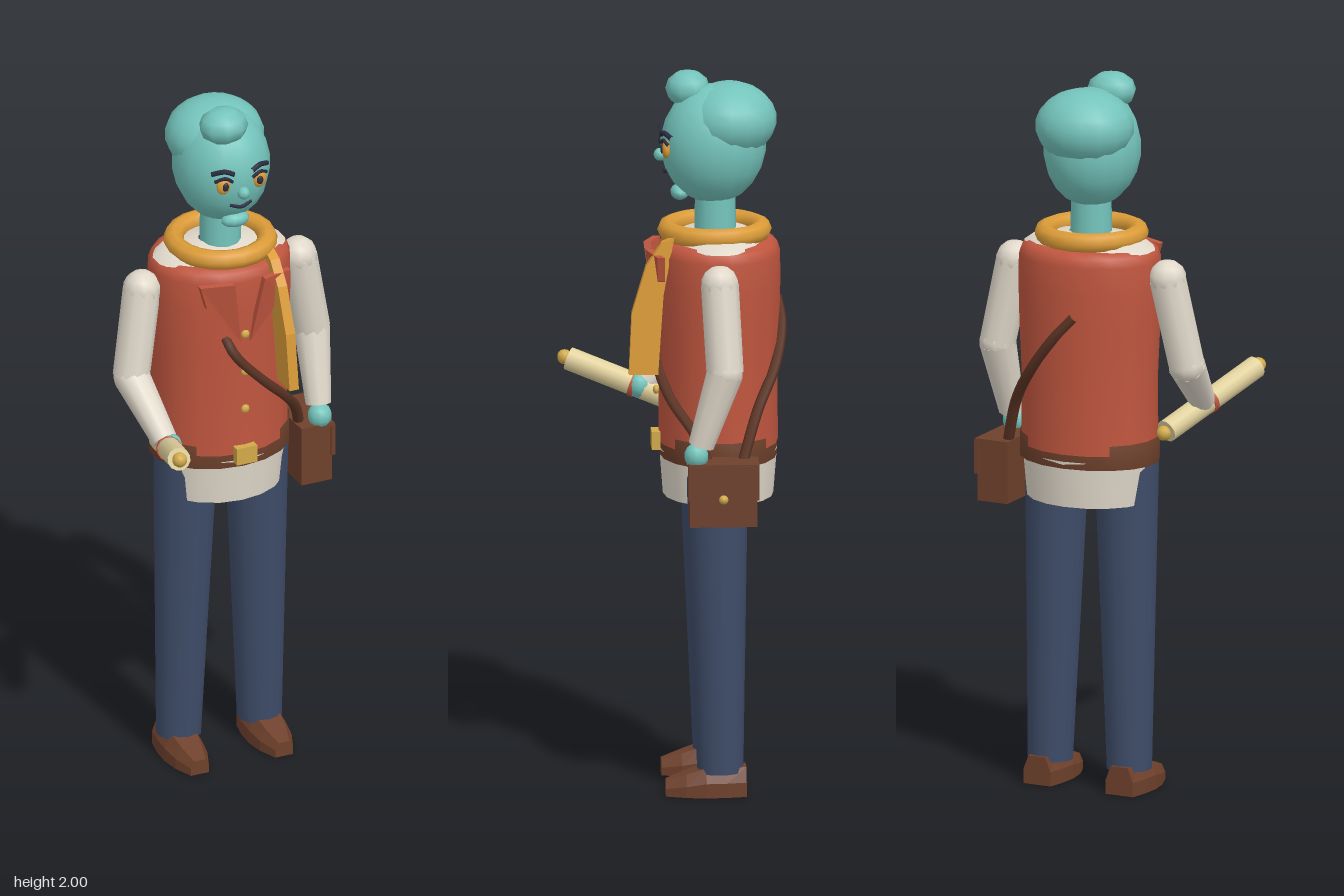
import * as THREE from 'three';

const mat = (name, color, extra = {}) => Object.assign(new THREE.MeshStandardMaterial({ color, ...extra }), { name });
const V = (x, y, z) => new THREE.Vector3(x, y, z);

export function createModel() {
  const root = new THREE.Group();
  root.name = 'traveller';
  const teal = mat('tealSkin', 0x74c4bc);
  const red = mat('vestRed', 0xc0563f);
  const cream = mat('shirtCream', 0xe0d8ca, { side: THREE.DoubleSide });
  const gold = mat('scarfGold', 0xdc9c38);
  const leather = mat('leatherBrown', 0x6e402b);
  const dark = mat('strapBrown', 0x5c3424);
  const navy = mat('trouserNavy', 0x3e4c68);
  const brass = mat('brass', 0xd2aa4a);
  const paper = mat('parchment', 0xe0d09c);
  const ink = mat('inkNavy', 0x2a2c40);

  const add = (name, geo, material, x = 0, y = 0, z = 0, parent = root) => {
    const m = new THREE.Mesh(geo, material);
    m.name = name;
    m.position.set(x, y, z);
    parent.add(m);
    return m;
  };
  const ball = (name, material, x, y, z, rx, ry = rx, rz = rx, seg = 10, parent = root) =>
    add(name, new THREE.SphereGeometry(1, seg, Math.max(6, seg * 0.7 | 0)).scale(rx, ry, rz), material, x, y, z, parent);
  const box = (name, material, w, h, d, x, y, z, parent = root) =>
    add(name, new THREE.BoxGeometry(w, h, d), material, x, y, z, parent);
  // tapered round rod from a to b
  const rod = (name, material, a, b, ra, rb, seg = 10, parent = root) => {
    const d = b.clone().sub(a);
    const m = add(name, new THREE.CylinderGeometry(rb, ra, d.length(), seg), material, 0, 0, 0, parent);
    m.position.copy(a).addScaledVector(d, 0.5);
    m.quaternion.setFromUnitVectors(V(0, 1, 0), d.normalize());
    return m;
  };
  // oval body band turned from a [radius, height] profile
  const band = (name, material, pts, depth, seg = 18) =>
    add(name, new THREE.LatheGeometry(pts.map(p => new THREE.Vector2(...p)), seg).scale(1, 1, depth), material, 0, 0, -0.125);
  const tube = (name, material, pts, r, parent = root) =>
    add(name, new THREE.TubeGeometry(new THREE.CatmullRomCurve3(pts), 20, r, 6), material, 0, 0, 0, parent);

  // clothing on the torso
  band('shirtTail', cream, [[0.178, 0.82], [0.19, 0.95]], 0.85);
  band('vest', red, [[0.195, 0.97], [0.193, 1.15], [0.2, 1.3], [0.203, 1.42], [0.202, 1.5], [0.192, 1.525], [0.172, 1.536], [0.12, 1.54]], 0.84);
  band('shirtYoke', cream, [[0.192, 1.527], [0.16, 1.55], [0.06, 1.565]], 0.7);
  band('belt', leather, [[0.19, 0.928], [0.201, 0.93], [0.201, 0.998], [0.19, 1]], 0.8);
  box('buckle', brass, 0.062, 0.05, 0.024, 0, 0.972, 0.046);
  for (const y of [1.34, 1.225, 1.11]) ball('vestButton', brass, 0, y, 0.045, 0.013, 0.013, 0.009, 8);

  // lapels flare forward toward the shoulders
  for (const s of [1, -1]) {
    const shape = new THREE.Shape([[0.045, 1.515], [0.015, 1.32], [0.115, 1.44], [0.135, 1.51]].map(
      ([x, y]) => new THREE.Vector2(x * s, y)));
    const g = new THREE.ExtrudeGeometry(shape, { depth: 0.02, bevelEnabled: false });
    const p = g.attributes.position;
    for (let i = 0; i < p.count; i++)
      p.setZ(i, p.getZ(i) + 0.03 + 0.16 * (p.getY(i) - 1.32) - 1.8 * p.getX(i) ** 2);
    g.computeVertexNormals();
    add('lapel', g, red);
  }

  // scarf ring and hanging end
  const ring = add('scarfRing', new THREE.TorusGeometry(0.129, 0.028, 8, 20), gold, 0, 1.56, -0.115);
  ring.rotation.x = Math.PI / 2;
  const tail = new THREE.Shape([[0, 1.56], [0.035, 1.545], [0.078, 1.48], [0.117, 1.35], [0.125, 1.18], [0.045, 1.18], [0.03, 1.4]]
    .map(p => new THREE.Vector2(...p)));
  const tailGeo = new THREE.ExtrudeGeometry(tail, { depth: 0.028, bevelEnabled: false }).rotateY(-Math.PI / 2);
  const tp = tailGeo.attributes.position;
  for (let i = 0; i < tp.count; i++) tp.setX(i, tp.getX(i) + 0.108 + (1.55 - tp.getY(i)) * 0.045);
  tailGeo.computeVertexNormals();
  add('scarfTail', tailGeo, gold);

  // head and hair
  const head = new THREE.Group();
  head.name = 'head';
  root.add(head);
  add('neck', new THREE.CylinderGeometry(0.055, 0.058, 0.16, 12), teal, 0, 1.6, -0.117, head);
  ball('skull', teal, 0, 1.8, -0.112, 0.133, 0.166, 0.145, 16, head);
  ball('chin', teal, 0, 1.665, -0.02, 0.042, 0.022, 0.026, 10, head);
  ball('hairCap', teal, 0, 1.867, -0.155, 0.138, 0.104, 0.131, 16, head);
  ball('hairBun', teal, -0.025, 1.948, -0.043, 0.07, 0.052, 0.062, 9, head);
  ball('nose', teal, 0, 1.77, 0.034, 0.018, 0.018, 0.018, 8, head);
  for (const s of [1, -1]) {
    ball('eye', gold, s * 0.054, 1.797, 0.02, 0.021, 0.026, 0.012, 12, head);
    ball('pupil', ink, s * 0.052, 1.797, 0.03, 0.01, 0.013, 0.006, 8, head);
    tube('eyelid', ink, [V(s * 0.03, 1.808, 0.028), V(s * 0.052, 1.822, 0.028), V(s * 0.078, 1.81, 0.014)], 0.005, head);
    tube('eyebrow', ink, [V(s * 0.027, 1.832, 0.032), V(s * 0.052, 1.842, 0.026), V(s * 0.084, 1.832, 0.006)], 0.007, head);
  }
  tube('mouth', ink, [V(-0.032, 1.73, 0.013), V(0, 1.722, 0.021), V(0.032, 1.73, 0.013)], 0.005, head);

  // arms: shoulder, elbow, wrist, hand
  const arm = (name, shoulder, elbow, wrist, hand) => {
    const g = new THREE.Group();
    g.name = name;
    root.add(g);
    rod('upperSleeve', cream, shoulder, elbow, 0.052, 0.051, 10, g);
    rod('foreSleeve', cream, elbow, wrist, 0.051, 0.036, 10, g);
    ball('shoulder', cream, ...shoulder.toArray(), 0.053, 0.053, 0.053, 10, g);
    ball('elbow', cream, ...elbow.toArray(), 0.051, 0.051, 0.051, 10, g);
    ball('hand', teal, ...hand.toArray(), 0.034, 0.036, 0.034, 10, g);
  };
  arm('leftArm', V(0.236, 1.457, -0.118), V(0.282, 1.22, -0.13), V(0.272, 1.015, -0.065), V(0.27, 0.985, -0.052));
  arm('rightArm', V(-0.236, 1.457, -0.118), V(-0.281, 1.21, -0.09), V(-0.25, 1.075, 0.06), V(-0.242, 1.065, 0.078));

  // rolled scroll with band and end knobs
  const a = V(-0.205, 1.01, -0.065), b = V(-0.305, 1.128, 0.27);
  const along = t => a.clone().lerp(b, t);
  rod('scroll', paper, a, b, 0.032, 0.032, 12);
  rod('scrollBand', red, along(0.45), along(0.49), 0.035, 0.035, 12);
  for (const t of [-0.03, 1.03]) ball('scrollKnob', brass, ...along(t).toArray(), 0.021);

  // legs and shoes
  for (const s of [1, -1]) {
    const side = s > 0 ? 'left' : 'right';
    rod(side + 'TrouserLeg', navy, V(s * 0.122, 0.065, -0.125), V(s * 0.107, 0.93, -0.112), 0.063, 0.09, 14);
    const g = new THREE.BoxGeometry(1, 1, 1, 2, 2, 4).toNonIndexed();
    const p = g.attributes.position;
    for (let i = 0; i < p.count; i++) {
      const t = p.getZ(i) + 0.5, h = p.getY(i) + 0.5;
      const width = 0.084 + 0.03 * Math.sin(Math.PI * t) - 0.03 * t ** 4;
      const height = t < 0.5 ? 0.08 : 0.08 - 0.038 * (t - 0.5) * 2;
      p.setXYZ(i, p.getX(i) * width * (h > 0.75 ? 0.62 : 1), h * height, -0.195 + t * 0.22);
    }
    g.computeVertexNormals();
    add(side + 'Shoe', g, leather, s * 0.127, 0.002, 0);
  }

  // satchel with flap, clasp and strap
  const bag = new THREE.Group();
  bag.name = 'satchel';
  root.add(bag);
  box('bagBody', leather, 0.092, 0.168, 0.185, 0.252, 0.874, -0.126, bag);
  box('bagFlapTop', leather, 0.1, 0.012, 0.195, 0.254, 0.96, -0.126, bag);
  box('bagFlapFront', leather, 0.012, 0.095, 0.195, 0.3, 0.914, -0.126, bag);
  ball('bagClasp', brass, 0.31, 0.87, -0.125, 0.013, 0.013, 0.013, 8, bag);
  tube('strapFront', dark, [V(-0.055, 1.335, 0.025), V(-0.03, 1.28, 0.048), V(0.05, 1.19, 0.043),
    V(0.13, 1.11, 0.01), V(0.195, 1.03, -0.05), V(0.225, 0.95, -0.09)], 0.015, bag);
  tube('strapBack', dark, [V(-0.035, 1.36, -0.287), V(0.02, 1.3, -0.297), V(0.1, 1.2, -0.277),
    V(0.175, 1.09, -0.225), V(0.225, 0.95, -0.18)], 0.015, bag);

  return root;
}
